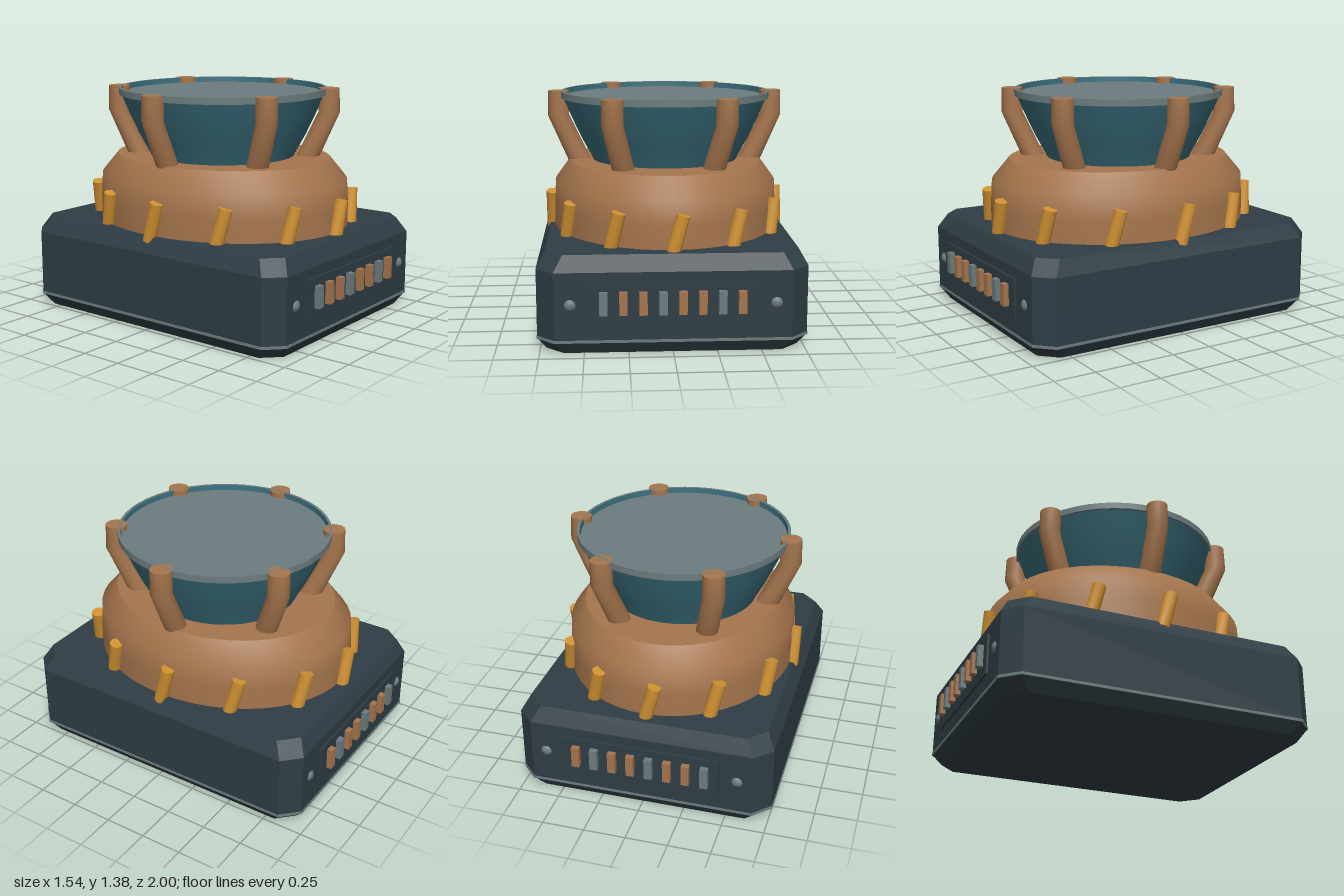
import * as THREE from 'three';
import { toCreasedNormals } from 'three/addons/utils/BufferGeometryUtils.js';
import { ConvexGeometry } from 'three/addons/geometries/ConvexGeometry.js';

const paint = (name, color) => {
  const m = new THREE.MeshStandardMaterial({ color });
  m.name = name;
  return m;
};

// Solid made of stacked octagons; each level is [y, inset from the full footprint]
function chamferedBlock(levels) {
  const pts = [];
  for (const [y, inset] of levels) {
    const w = 0.765 - inset, d = 0.955 - inset, c = 0.1;
    for (const sx of [-1, 1]) for (const sz of [-1, 1]) {
      pts.push(new THREE.Vector3(sx * w, y, sz * (d - c)));
      pts.push(new THREE.Vector3(sx * (w - c), y, sz * d));
    }
  }
  return new ConvexGeometry(pts);
}

function lathe(profile, crease = 0.9) {
  const pts = profile.map(([r, y]) => new THREE.Vector2(r, y));
  return toCreasedNormals(new THREE.LatheGeometry(pts, 48), crease);
}

// Bent round post: a vertical cylinder whose rings are pushed outward by height
function strutGeometry() {
  const rings = [[0.525, 0.94, 0.072], [0.66, 1.235, 0.066], [0.656, 1.385, 0.065]];
  const g = new THREE.CylinderGeometry(1, 1, 2, 20, 2);
  const p = g.attributes.position;
  for (let i = 0; i < p.count; i++) {
    const [out, y, r] = rings[Math.round(p.getY(i)) + 1];
    p.setXYZ(i, out + p.getX(i) * r, y, p.getZ(i) * 0.065);
  }
  return toCreasedNormals(g, 0.6);
}

export function createModel() {
  const model = new THREE.Group();
  model.name = 'domedDevice';
  const slate = paint('slate', 0x2f3d45);
  const copper = paint('copper', 0xa5754d);
  const teal = paint('teal', 0x3a6d7b);
  const grey = paint('grey', 0x6c7c7e);
  const gold = paint('gold', 0xcf9132);

  const add = (name, geometry, material, x = 0, y = 0, z = 0) => {
    const mesh = new THREE.Mesh(geometry, material);
    mesh.name = name;
    mesh.position.set(x, y, z);
    model.add(mesh);
    return mesh;
  };

  // Base block with a thin trim line
  add('base', chamferedBlock([[0, 0.05], [0.075, 0], [0.475, 0], [0.565, 0.05]]), slate);
  add('baseTrim', chamferedBlock([[0.072, -0.003], [0.088, -0.003]]), grey);

  // Oval collar
  const collar = lathe([[0.692, 0.55], [0.69, 0.7], [0.683, 0.84], [0.592, 0.965], [0, 0.965]]);
  add('collar', collar.scale(1, 1, 1.19), copper);

  // Flared cup, its rim and the lid set inside
  add('cup', lathe([[0.44, 0.94], [0.455, 0.98], [0.52, 1.1], [0.58, 1.23], [0.63, 1.348]]), teal);
  add('rim', lathe([[0.622, 1.345], [0.643, 1.345], [0.643, 1.385], [0.626, 1.385]]), grey);
  add('rimLining', lathe([[0.626, 1.385], [0.622, 1.345]]), teal);
  add('lid', new THREE.CylinderGeometry(0.622, 0.622, 0.01, 48), grey, 0, 1.347, 0);

  // Six bent struts around the cup
  const strut = strutGeometry();
  for (let i = 0; i < 6; i++) add('strut', strut, copper).rotation.y = i * Math.PI / 3;

  // Twelve leaning pegs around the collar
  const peg = toCreasedNormals(new THREE.CylinderGeometry(0.041, 0.041, 0.24, 10), 0.9);
  peg.translate(0, 0.12, 0);
  for (let i = 0; i < 12; i++) {
    const a = i * Math.PI / 6;
    const m = add('peg', peg, gold, 0.7 * Math.sin(a), 0.535, 0.838 * Math.cos(a));
    m.rotation.set(0, a, -0.25);
  }

  // Control panels on the front and back
  const panel = new THREE.BoxGeometry(0.945, 0.24, 0.03);
  const key = new THREE.BoxGeometry(0.046, 0.13, 0.05);
  const knob = new THREE.SphereGeometry(0.041, 20, 14);
  for (const s of [1, -1]) {
    add('panel', panel, slate, 0, 0.295, s * 0.953);
    for (let i = 0; i < 8; i++) {
      add('key', key, i % 3 ? copper : grey, -0.39 + i * 0.11, 0.305, s * 0.975);
    }
    for (const x of [-0.575, 0.575]) add('knob', knob, grey, x, 0.29, s * 0.93);
  }
  return model;
}
